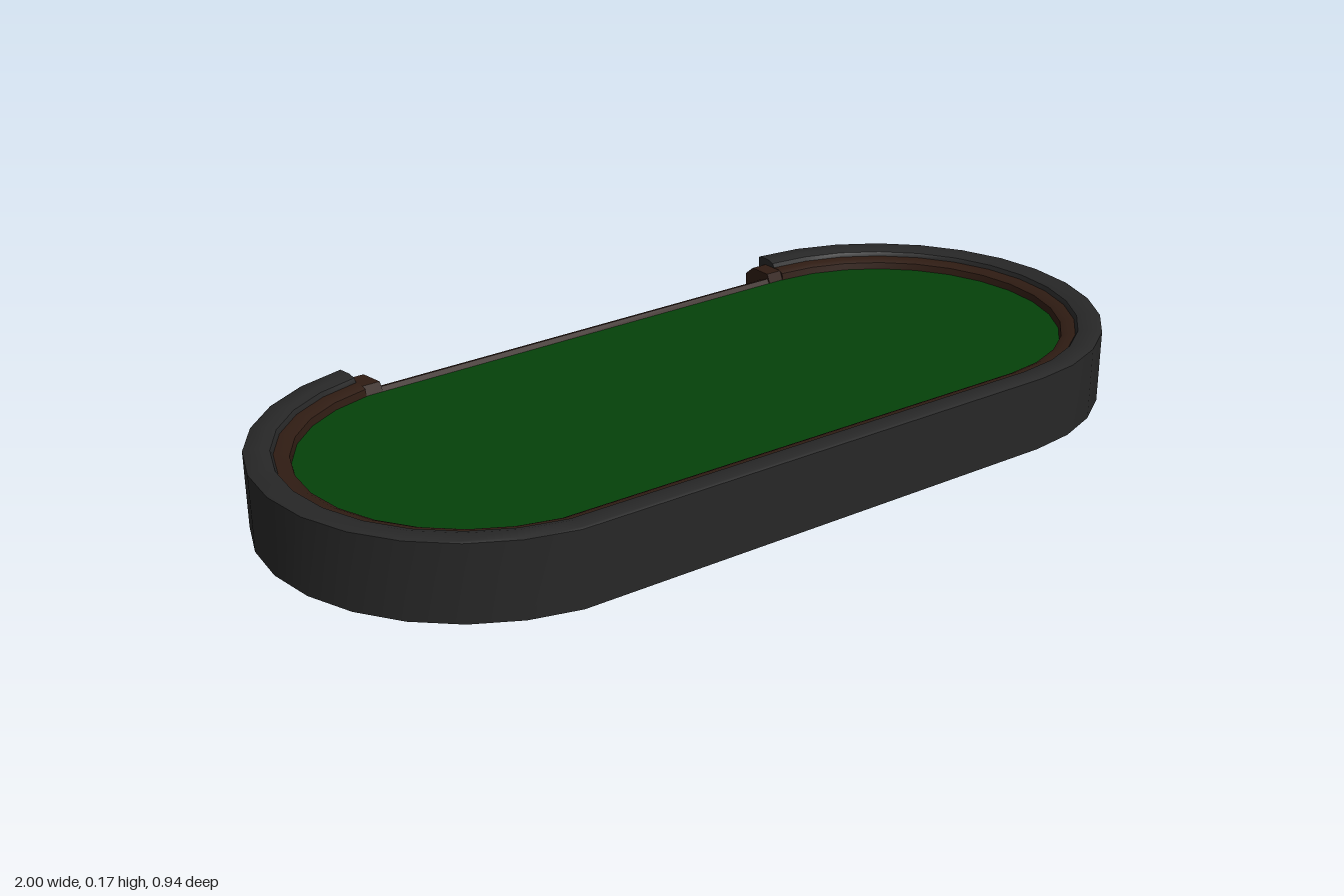
import * as THREE from 'three';
import { toCreasedNormals } from 'three/addons/utils/BufferGeometryUtils.js';

const material = (color) => new THREE.MeshStandardMaterial({ color, side: THREE.DoubleSide });
const padding = material(0x272727);
const wood = material(0x2f1c13);
const cloth = material(0x05420a);

// Oval outline inset by a distance, from the back right end round the front to the back left
function outline(inset) {
  const points = [];
  const arc = (cx, r, from, to, n) => {
    for (let i = 0; i <= n; i++) {
      const a = THREE.MathUtils.degToRad(from + ((to - from) * i) / n);
      points.push([cx + r * Math.cos(a), r * Math.sin(a)]);
    }
  };
  arc(0.53, 0.47 - inset, -90, 90, 14);
  arc(-0.54, 0.46 - inset, 99, 261, 12);
  return points;
}

// Part of the straight stretch along the back, as fractions from back left to back right
const backStretch = (from, to) => (inset) => {
  const points = outline(inset);
  const start = points[points.length - 1];
  const end = points[0];
  return [from, to].map((t) => [0, 1].map((k) => THREE.MathUtils.lerp(start[k], end[k], t)));
};

// Sweep a profile of [inset, y] pairs along a path and close both ends
function sweep(profile, path) {
  const positions = [];
  const index = [];
  const m = profile.length;
  const rings = profile.map(([inset]) => path(inset));
  const n = rings[0].length;
  for (let i = 0; i < n; i++) {
    for (let j = 0; j < m; j++) positions.push(rings[j][i][0], profile[j][1], rings[j][i][1]);
  }
  for (let i = 0; i < n - 1; i++) {
    for (let j = 0; j < m - 1; j++) {
      const a = i * m + j;
      const b = a + m;
      index.push(a, a + 1, b, b, a + 1, b + 1);
    }
  }
  const e = (n - 1) * m;
  for (let j = 1; j < m - 1; j++) index.push(0, j + 1, j, e, e + j, e + j + 1);
  const geometry = new THREE.BufferGeometry();
  geometry.setAttribute('position', new THREE.Float32BufferAttribute(positions, 3));
  geometry.setIndex(index);
  return toCreasedNormals(geometry, 0.65);
}

// Flat oval sheet, facing up (1) or down (-1)
function sheet(inset, y, facing) {
  const shape = new THREE.Shape(outline(inset).map(([x, z]) => new THREE.Vector2(x, -z * facing)));
  return new THREE.ShapeGeometry(shape).rotateX((-Math.PI / 2) * facing).translate(0, y, 0);
}

export function createModel() {
  const group = new THREE.Group();
  const add = (name, geometry, mat) => {
    const mesh = new THREE.Mesh(geometry, mat);
    mesh.name = name;
    group.add(mesh);
  };

  // Padded rail around the front and both ends
  const railProfile = [[0, 0], [0, 0.162], [0.005, 0.165], [0.035, 0.165], [0.052, 0.16],
    [0.058, 0.15], [0.058, 0.125]];
  add('paddedRail', sweep(railProfile, outline), padding);

  // Wooden lip between the rail and the cloth
  const lipProfile = [[0.057, 0.12], [0.057, 0.151], [0.076, 0.151], [0.088, 0.145], [0.092, 0.125]];
  add('innerLip', sweep(lipProfile, outline), wood);

  // Wooden edge in the gap at the back, sloping down and outwards
  const edgeProfile = [[0, 0], [0, 0.09], [0.02, 0.108], [0.05, 0.126], [0.08, 0.138], [0.092, 0.125]];
  add('backEdge', sweep(edgeProfile, backStretch(0.035, 0.965)), wood);

  // Taller wooden blocks where the rail stops
  const blockProfile = [[0, 0], [0, 0.13], [0.025, 0.15], [0.08, 0.15], [0.092, 0.125]];
  add('leftRailEnd', sweep(blockProfile, backStretch(0.965, 1)), wood);
  add('rightRailEnd', sweep(blockProfile, backStretch(0, 0.035)), wood);

  // Cloth playing surface and flat underside
  add('playingSurface', sheet(0.09, 0.13, 1), cloth);
  add('underside', sheet(0, 0, -1), cloth);

  return group;
}
